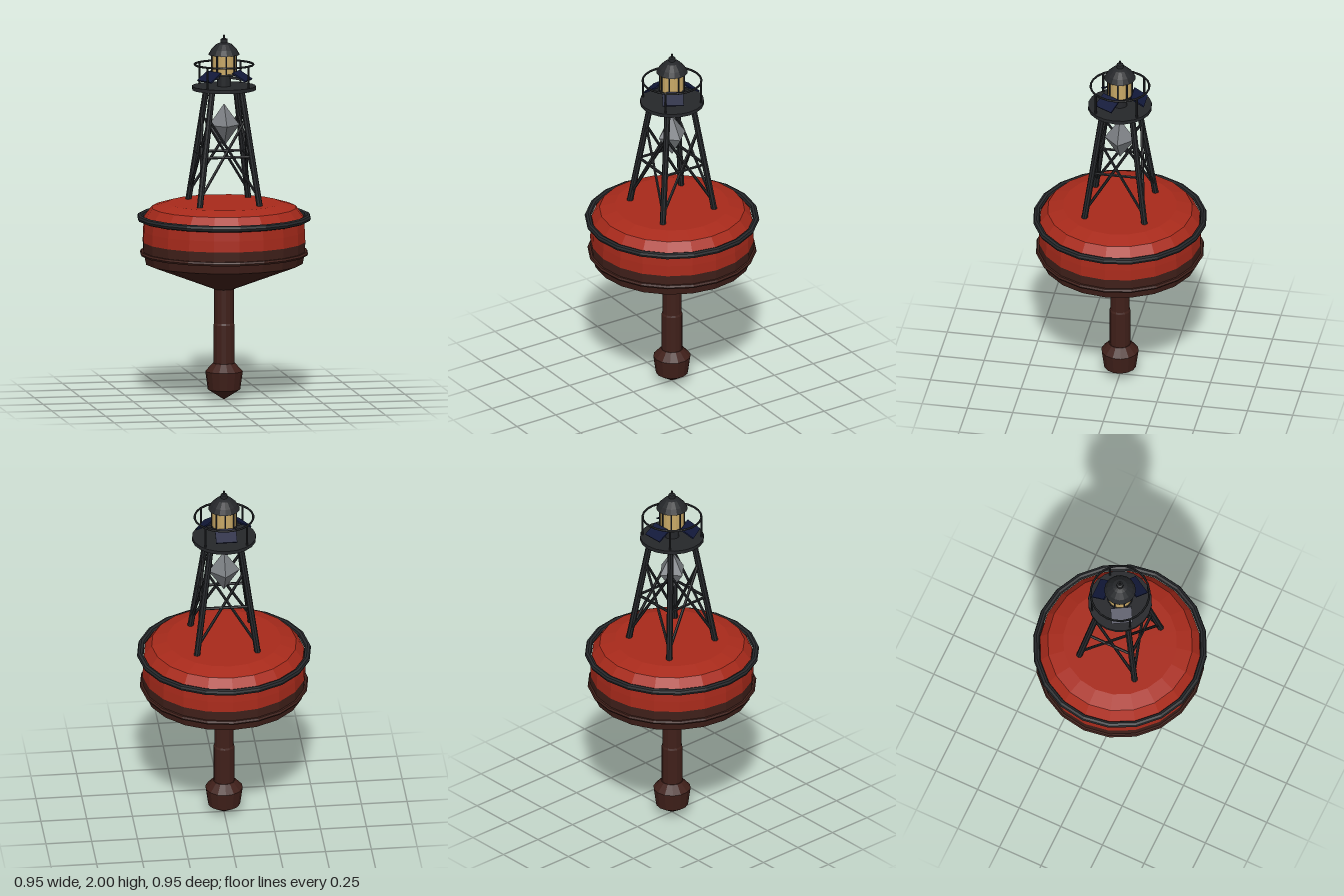
import * as THREE from 'three';

const paint = (color) => new THREE.MeshStandardMaterial({ color, flatShading: true, side: THREE.DoubleSide });
const V = (x, y, z) => new THREE.Vector3(x, y, z);

export function createModel() {
  const model = new THREE.Group();
  const red = paint(0xa82a1b), fouled = paint(0x40201a), dark = paint(0x25272a);
  const glass = paint(0xc8a866), solar = paint(0x12193a), metal = paint(0x7c8084);

  const add = (name, geometry, material, x = 0, y = 0, z = 0, parent = model) => {
    const mesh = new THREE.Mesh(geometry, material);
    mesh.name = name;
    mesh.position.set(x, y, z);
    parent.add(mesh);
    return mesh;
  };
  // Profile points run from bottom to top as [radius, height]
  const lathe = (name, points, sides, material) =>
    add(name, new THREE.LatheGeometry(points.map(([r, y]) => new THREE.Vector2(r, y)), sides), material);
  const ring = (name, radius, tube, y, sides, tubeSides) => {
    const geometry = new THREE.TorusGeometry(radius, tube, tubeSides, sides).rotateX(Math.PI / 2);
    return add(name, geometry, dark, 0, y, 0);
  };
  // Round bar between two points
  const bar = (name, a, b, radius, sides = 6, material = dark) => {
    const mesh = add(name, new THREE.CylinderGeometry(radius, radius, a.distanceTo(b), sides), material);
    mesh.position.copy(a).add(b).multiplyScalar(0.5);
    mesh.quaternion.setFromUnitVectors(V(0, 1, 0), b.clone().sub(a).normalize());
    return mesh;
  };

  // Float body, painted above and weathered below the waterline
  lathe('upperHull', [[0.445, 0.87], [0.443, 0.93], [0.437, 1.0], [0.395, 1.055], [0.31, 1.08], [0, 1.082]], 20, red);
  lathe('lowerHull', [[0.05, 0.605], [0.43, 0.75], [0.443, 0.81], [0.445, 0.87]], 20, fouled);
  ring('upperFender', 0.457, 0.018, 1.0, 20, 8);
  ring('lowerFender', 0.448, 0.012, 0.806, 20, 6).material = fouled;

  // Tail tube with ballast weight
  lathe('tailTube', [[0.057, 0.18], [0.057, 0.41], [0.053, 0.42], [0.053, 0.63]], 14, fouled);
  lathe('ballast', [[0, 0], [0.088, 0.055], [0.102, 0.155], [0.06, 0.2], [0, 0.2]], 14, fouled);

  // Four-legged tower with cross braces
  const legAt = (i, y) => {
    const r = (0.165 - 0.135 * (y - 1.08)) * Math.SQRT2;
    const a = Math.PI / 4 + i * Math.PI / 2;
    return V(r * Math.cos(a), y, r * Math.sin(a));
  };
  for (let i = 0; i < 4; i++) {
    bar('towerLeg', legAt(i, 1.06), legAt(i, 1.71), 0.017, 8);
    bar('horizontalBrace', legAt(i, 1.345), legAt(i + 1, 1.345), 0.008);
    bar('diagonalBrace', legAt(i, 1.13), legAt(i + 1, 1.55), 0.008);
    bar('diagonalBrace', legAt(i + 1, 1.13), legAt(i, 1.55), 0.008);
  }

  // Radar reflector hung in the tower
  add('radarReflector', new THREE.OctahedronGeometry(1).scale(0.085, 0.118, 0.085), metal, 0, 1.505, 0);

  // Service platform with guard rail
  add('platform', new THREE.CylinderGeometry(0.174, 0.174, 0.02, 20), dark, 0, 1.71, 0);
  ring('guardRail', 0.16, 0.006, 1.838, 24, 6);
  for (let i = 0; i < 4; i++) {
    const a = Math.PI / 4 + i * Math.PI / 2;
    const x = 0.16 * Math.cos(a), z = 0.16 * Math.sin(a);
    bar('railPost', V(x, 1.715, z), V(x, 1.838, z), 0.006);
  }

  // Lantern: pedestal, glazing, mullions, roof and finial
  add('lanternPedestal', new THREE.CylinderGeometry(0.04, 0.04, 0.075, 12), dark, 0, 1.755, 0);
  add('lanternBase', new THREE.CylinderGeometry(0.072, 0.072, 0.01, 16), dark, 0, 1.785, 0);
  add('lanternGlass', new THREE.CylinderGeometry(0.066, 0.066, 0.11, 16), glass, 0, 1.84, 0);
  for (let i = 0; i < 8; i++) {
    const a = i * Math.PI / 4;
    const x = 0.067 * Math.cos(a), z = 0.067 * Math.sin(a);
    bar('mullion', V(x, 1.785, z), V(x, 1.895, z), 0.005);
  }
  lathe('lanternRoof', [[0, 1.892], [0.086, 1.892], [0.07, 1.92], [0.04, 1.95], [0.018, 1.958], [0.018, 1.978],
    [0.007, 1.982], [0.004, 2.0], [0, 2.0]], 16, dark);

  // Three tilted solar panels around the pedestal
  for (let i = 0; i < 3; i++) {
    const unit = new THREE.Group();
    unit.name = 'solarPanelUnit';
    unit.rotation.y = Math.PI + i * Math.PI * 2 / 3;
    model.add(unit);
    const panel = add('solarPanel', new THREE.BoxGeometry(0.115, 0.008, 0.085), solar, 0, 1.778, 0.105, unit);
    panel.rotation.x = 0.55;
    const strut = add('solarStrut', new THREE.BoxGeometry(0.014, 0.014, 0.08), dark, 0, 1.765, 0.07, unit);
    strut.rotation.x = 0.1;
  }
  return model;
}
